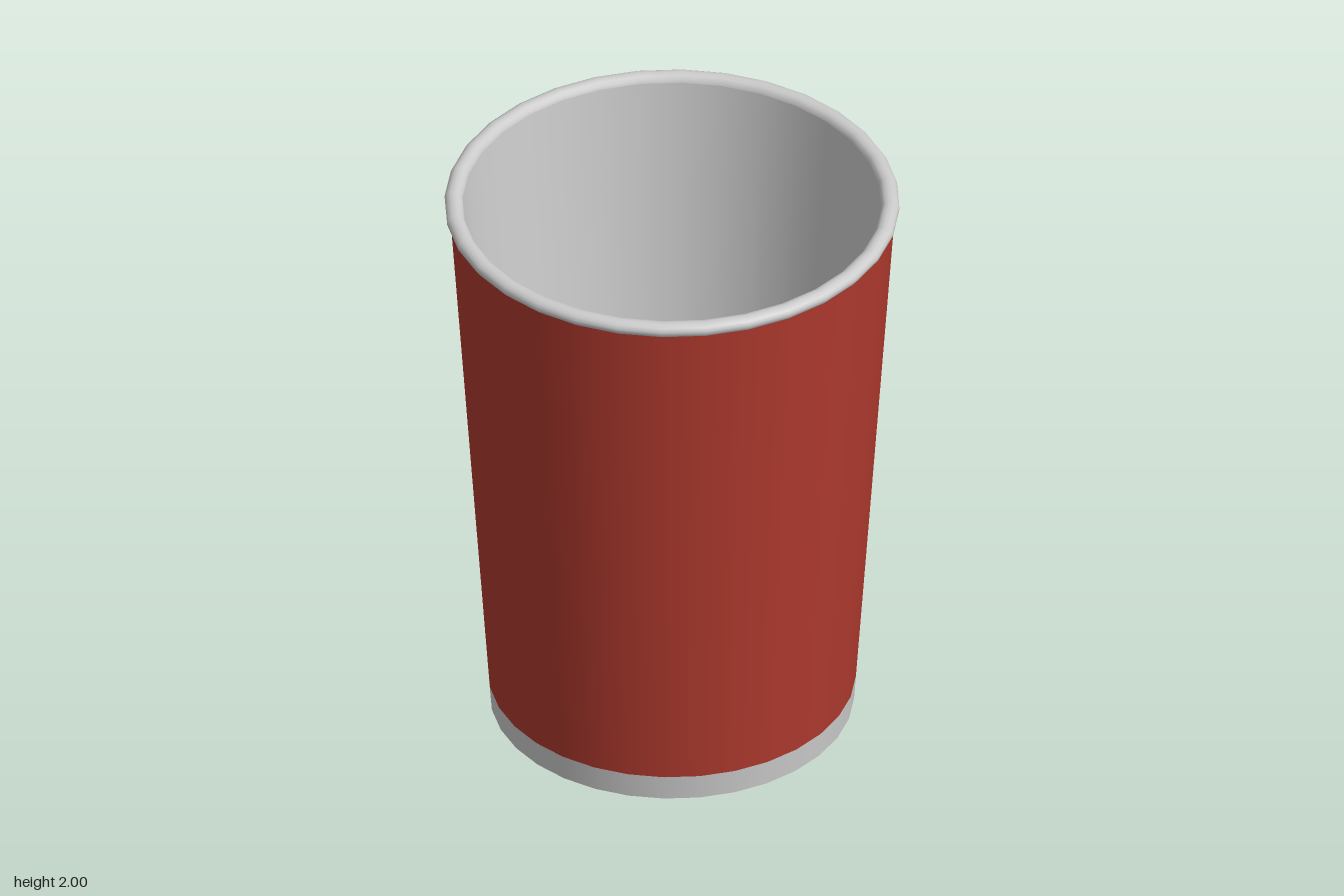
import * as THREE from 'three';

const SEGMENTS = 32;
const RED = 0xb03a2e;

// Surface of revolution from [radius, height] points; outward when listed bottom to top
function lathe(name, points, color = 0xcccccc) {
  const profile = points.map(([r, y]) => new THREE.Vector2(r, y));
  const mesh = new THREE.Mesh(
    new THREE.LatheGeometry(profile, SEGMENTS),
    new THREE.MeshStandardMaterial({ color })
  );
  mesh.name = name;
  return mesh;
}

export function createModel() {
  const cup = new THREE.Group();
  cup.name = 'paperCup';

  // Outer wall: coloured sleeve above a plain band
  cup.add(lathe('sleeve', [[0.606, 0.09], [0.735, 1.96]], RED));
  cup.add(lathe('baseBand', [[0.6, 0], [0.606, 0.09]]));

  // Rolled lip, slightly flattened, from the outer wall over to the inner wall
  const lip = [[0.728, 1.953]];
  for (let i = 0; i <= 8; i++) {
    const a = -Math.PI / 4 + (i / 8) * Math.PI * 1.25;
    lip.push([0.72 + 0.03 * Math.cos(a), 1.975 + 0.025 * Math.sin(a)]);
  }
  cup.add(lathe('rolledRim', lip));

  // Inside
  cup.add(lathe('innerWall', [[0.69, 1.975], [0.52, 0.08]]));
  cup.add(lathe('innerFloor', [[0.52, 0.08], [0, 0.08]]));

  // Underside: foot ring around a shallow recess
  cup.add(lathe('footRing', [[0.55, 0], [0.6, 0]]));
  cup.add(lathe('recessWall', [[0.55, 0.04], [0.55, 0]]));
  cup.add(lathe('underside', [[0, 0.04], [0.55, 0.04]]));

  return cup;
}
